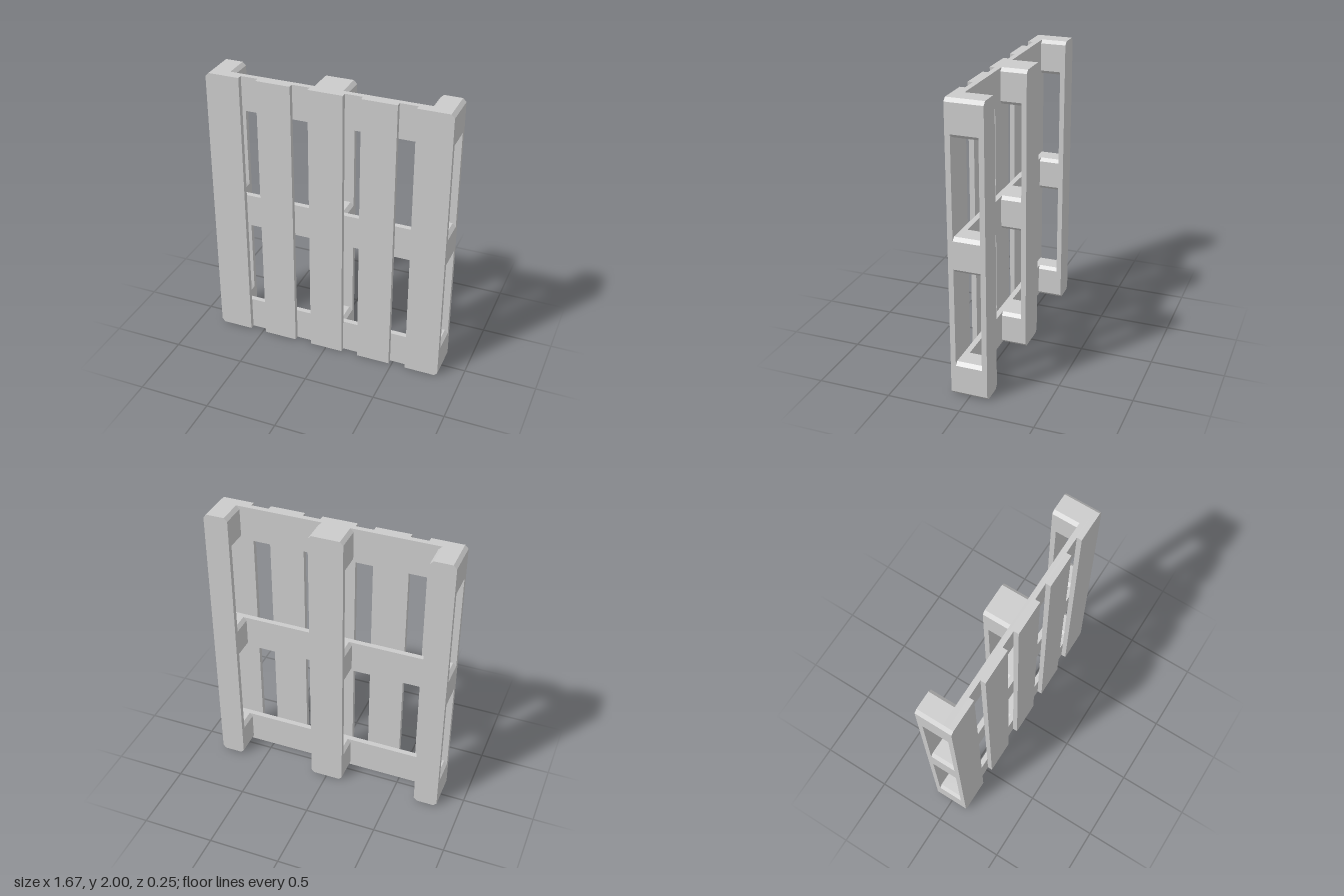
import * as THREE from 'three';

const material = new THREE.MeshStandardMaterial({ color: 0xcccccc });
const CUT = 0.023; // corner chamfer

// Plank in the XY plane spanning z0..z1; cutLeft / cutRight chamfer the corners on the -x / +x side
function plank(name, x0, x1, y0, y1, z0, z1, cutLeft, cutRight) {
  const points = [];
  const corner = (x, y, dx, dy, cut, xFirst) => {
    if (!cut) return points.push(new THREE.Vector2(x, y));
    const alongX = new THREE.Vector2(x + dx * CUT, y);
    const alongY = new THREE.Vector2(x, y + dy * CUT);
    points.push(...(xFirst ? [alongX, alongY] : [alongY, alongX]));
  };
  corner(x0, y0, 1, 1, cutLeft, false);
  corner(x1, y0, -1, 1, cutRight, true);
  corner(x1, y1, -1, -1, cutRight, false);
  corner(x0, y1, 1, -1, cutLeft, true);
  const geometry = new THREE.ExtrudeGeometry(new THREE.Shape(points), {
    depth: z1 - z0,
    bevelEnabled: false,
  });
  geometry.translate(0, 0, z0);
  const mesh = new THREE.Mesh(geometry, material);
  mesh.name = name;
  return mesh;
}

export function createModel() {
  const pallet = new THREE.Group();
  pallet.name = 'pallet';
  const W = 0.835;
  const columns = [[-W, -0.667], [-0.118, 0.118], [0.667, W]];
  const rows = [[0, 0.241], [0.883, 1.12], [1.759, 2]];

  // Five deck boards on the front
  const deckWidth = 0.238;
  for (let i = 0; i < 5; i++) {
    const x = -W + deckWidth / 2 + (i * (2 * W - deckWidth)) / 4;
    pallet.add(plank('deckBoard', x - deckWidth / 2, x + deckWidth / 2, 0, 2,
      0.09, 0.125, i === 0, i === 4));
  }

  // Three stringer boards running across behind the deck
  for (const [y0, y1] of rows) {
    pallet.add(plank('stringerBoard', -W, W, y0, y1, 0.053, 0.09, true, true));
  }

  // Nine spacer blocks, and three runner boards on the back
  for (const [x0, x1] of columns) {
    for (const [y0, y1] of rows) {
      pallet.add(plank('spacerBlock', x0, x1, y0, y1, -0.09, 0.053, true, true));
    }
    pallet.add(plank('runnerBoard', x0, x1, 0, 2, -0.125, -0.09, true, true));
  }
  return pallet;
}
